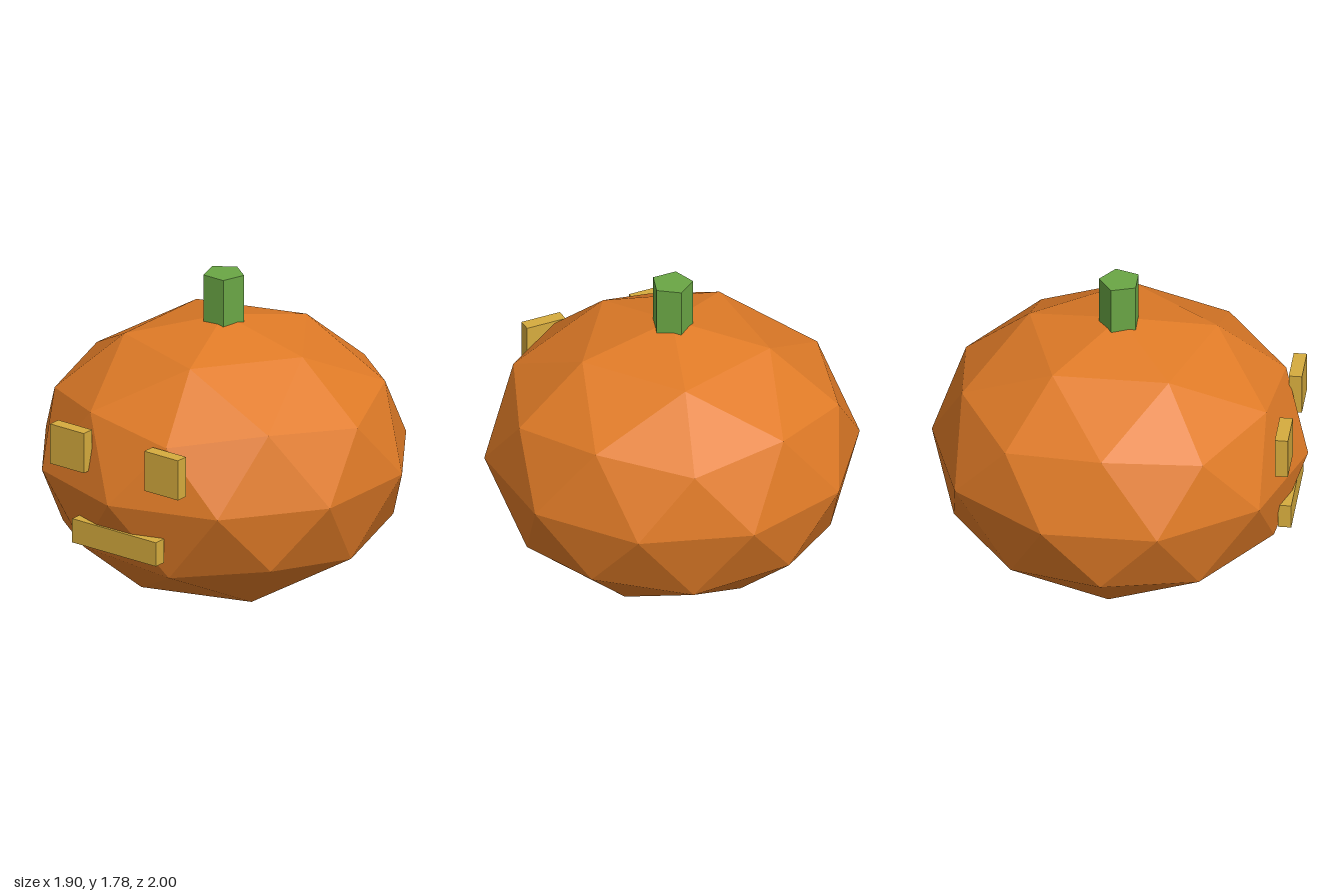
import * as THREE from 'three';

const material = (name, color) => {
  const m = new THREE.MeshStandardMaterial({ color, flatShading: true });
  m.name = name;
  return m;
};

// Faceted ball: an icosahedron standing on one corner, each face split in four
function facetedBall() {
  const corners = [0, 1, 0, 0, -1, 0];
  const faces = [];
  const y = Math.sqrt(0.2), r = 2 * y;
  for (let i = 0; i < 5; i++) {
    const a = (i * 2 * Math.PI) / 5, b = a + Math.PI / 5;
    corners.push(r * Math.cos(a), y, r * Math.sin(a));
    corners.push(r * Math.cos(b), -y, r * Math.sin(b));
    const up = 2 + 2 * i, low = up + 1;
    const nextUp = 2 + 2 * ((i + 1) % 5), nextLow = nextUp + 1;
    faces.push(0, nextUp, up, up, nextUp, low, low, nextUp, nextLow, 1, low, nextLow);
  }
  return new THREE.PolyhedronGeometry(corners, faces, 1, 1);
}

export function createModel() {
  const model = new THREE.Group();
  model.name = 'pumpkin';
  const orange = material('pumpkin orange', 0xe07b27);
  const green = material('stem green', 0x6aa645);
  const yellow = material('face yellow', 0xd6ac3e);

  const add = (name, geometry, mat, x, y, z) => {
    const mesh = new THREE.Mesh(geometry, mat);
    mesh.name = name;
    mesh.position.set(x, y, z);
    model.add(mesh);
    return mesh;
  };

  // Squashed body
  add('body', facetedBall().scale(1, 0.775, 1), orange, 0, 0.775, 0);

  // Five-sided stem with one corner to the back
  add('stem', new THREE.CylinderGeometry(0.1125, 0.1125, 0.28, 5), green, 0, 1.645, 0)
    .rotation.y = Math.PI;

  // Block eyes and mouth
  for (const [name, side] of [['leftEye', 1], ['rightEye', -1]]) {
    add(name, new THREE.BoxGeometry(0.225, 0.225, 0.07), yellow, side * 0.315, 1.005, 0.908);
  }
  add('mouth', new THREE.BoxGeometry(0.56, 0.135, 0.07), yellow, 0, 0.548, 0.908);

  return model;
}
